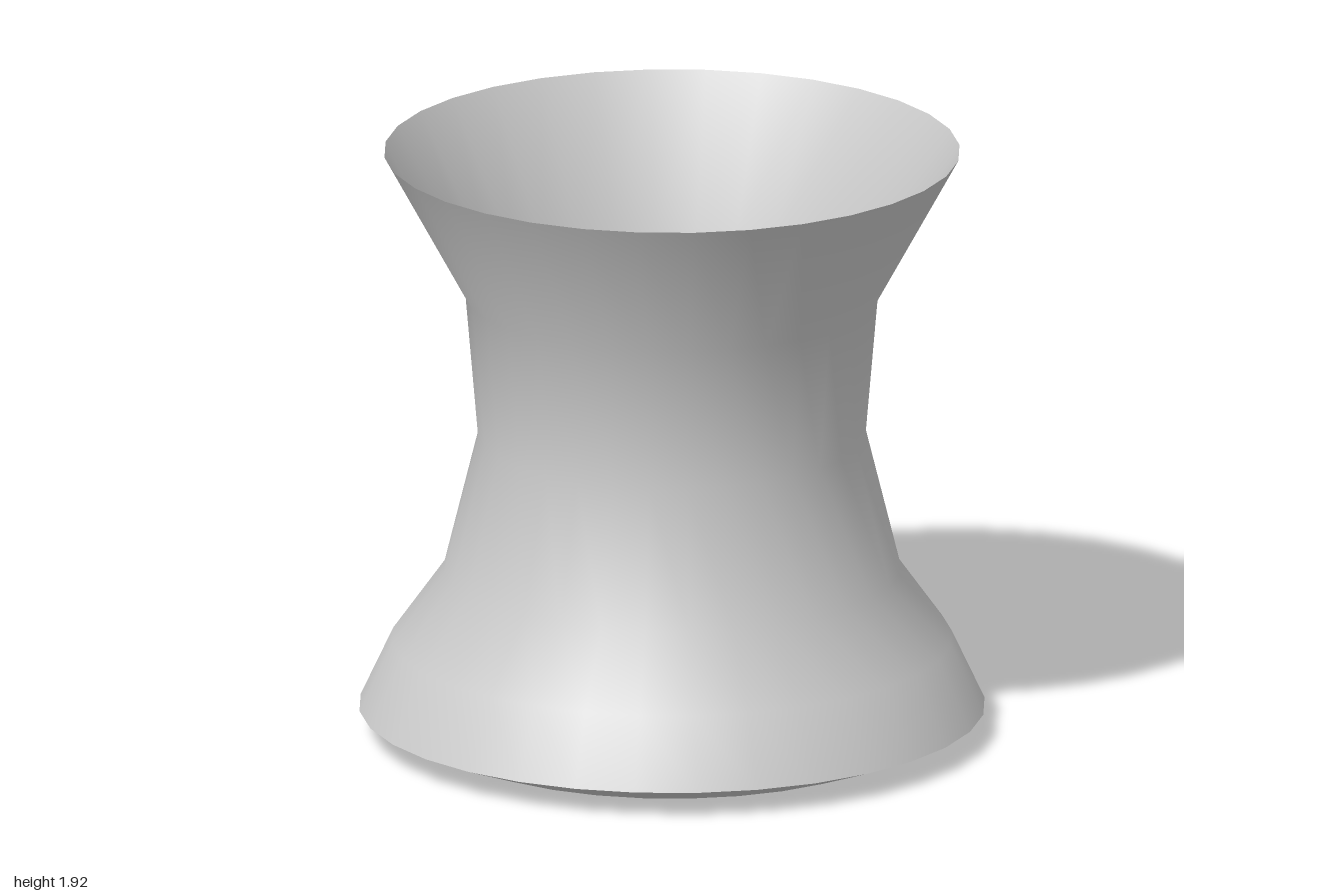
import * as THREE from 'three';

const SIDES = 32;

// Open surface of revolution through [radius, height] points, bottom to top
function turned(name, profile, flatShading) {
  const points = profile.map(([r, y]) => new THREE.Vector2(r, y));
  const material = new THREE.MeshStandardMaterial({
    color: 0xcccccc, side: THREE.DoubleSide, flatShading,
  });
  const mesh = new THREE.Mesh(new THREE.LatheGeometry(points, SIDES), material);
  mesh.name = name;
  return mesh;
}

export function createModel() {
  const model = new THREE.Group();
  model.name = 'waistedSleeve';

  // Thin waisted wall, open at the top
  model.add(turned('wall', [
    [1, 0.085], [0.895, 0.31], [0.73, 0.54], [0.62, 0.985], [0.66, 1.45], [0.92, 1.925],
  ], false));

  // Faceted lip turned inward under the wall, open in the middle
  model.add(turned('bottomLip', [[0.775, 0], [1, 0.085]], true));

  return model;
}
